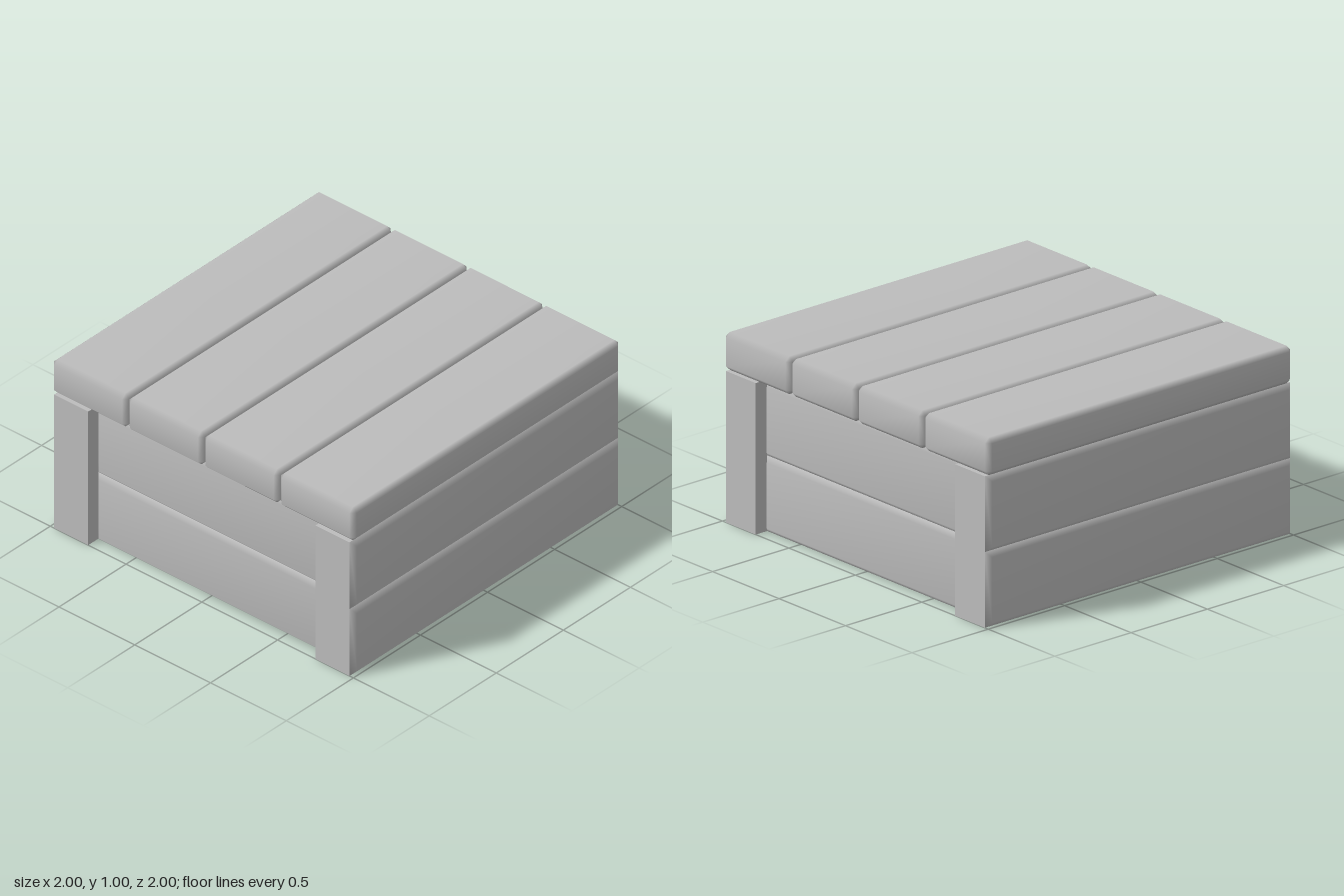
import * as THREE from 'three';
import { mergeGeometries, mergeVertices } from 'three/addons/utils/BufferGeometryUtils.js';
import { ConvexGeometry } from 'three/addons/geometries/ConvexGeometry.js';

const BEVEL = 0.026;

// Board facing +z: square back and ends, bevelled rim around the front face.
// The full thickness d runs from z = -d to z = 0.
function facingBoard(w, h, d) {
  const signs = [[-1, -1], [1, -1], [1, 1], [-1, 1]];
  const points = [];
  for (const inset of [0, BEVEL]) {
    for (const [sx, sy] of signs) {
      points.push(sx * (w / 2 - inset), sy * (h / 2 - inset), inset - BEVEL);
    }
  }
  const index = [4, 5, 6, 4, 6, 7];
  for (let i = 0; i < 4; i++) {
    const j = (i + 1) % 4;
    index.push(i, j, j + 4, i, j + 4, i + 4);
  }
  const face = new THREE.BufferGeometry();
  face.setAttribute('position', new THREE.Float32BufferAttribute(points, 3));
  face.setIndex(index);
  face.computeVertexNormals();

  const block = new THREE.BoxGeometry(w, h, d - BEVEL);
  block.translate(0, 0, -(d + BEVEL) / 2);
  block.deleteAttribute('uv');
  return mergeGeometries([face, block]);
}

// Plank with all twelve edges chamfered and softly shaded.
function chamferedPlank(w, h, d) {
  const points = [];
  for (const x of [-1, 1]) for (const y of [-1, 1]) for (const z of [-1, 1]) {
    for (let axis = 0; axis < 3; axis++) {
      const inset = [BEVEL, BEVEL, BEVEL];
      inset[axis] = 0;
      points.push(new THREE.Vector3(
        x * (w / 2 - inset[0]), y * (h / 2 - inset[1]), z * (d / 2 - inset[2])));
    }
  }
  const hull = new ConvexGeometry(points);
  hull.deleteAttribute('normal');
  const geometry = mergeVertices(hull, 1e-4);
  geometry.computeVertexNormals();
  return geometry;
}

export function createModel() {
  const model = new THREE.Group();
  model.name = 'woodenCrate';
  const wood = new THREE.MeshStandardMaterial({ color: 0xbcbcbc });
  wood.name = 'plain grey';

  const add = (name, geometry, x, y, z, turn = 0) => {
    const mesh = new THREE.Mesh(geometry, wood);
    mesh.name = name;
    mesh.position.set(x, y, z);
    mesh.rotation.y = turn;
    model.add(mesh);
  };

  // Four lid planks side by side
  const lidPlank = chamferedPlank(2, 0.2, 0.5);
  for (let i = 0; i < 4; i++) add('lidPlank' + (i + 1), lidPlank, 0, 0.9, -0.75 + i * 0.5);

  // Two courses of wall boards: thick front and back, recessed sides between them
  const longBoard = facingBoard(2, 0.4, 0.25);
  const sideBoard = facingBoard(1.5, 0.4, 0.2);
  for (const [course, y] of [['lower', 0.2], ['upper', 0.6]]) {
    add(course + 'FrontBoard', longBoard, 0, y, 1);
    add(course + 'BackBoard', longBoard, 0, y, -1, Math.PI);
    add(course + 'LeftBoard', sideBoard, 0.95, y, 0, Math.PI / 2);
    add(course + 'RightBoard', sideBoard, -0.95, y, 0, -Math.PI / 2);
  }

  // Floor filling the space between the walls
  add('floor', new THREE.BoxGeometry(1.5, 0.1, 1.5), 0, 0.05, 0);
  return model;
}
